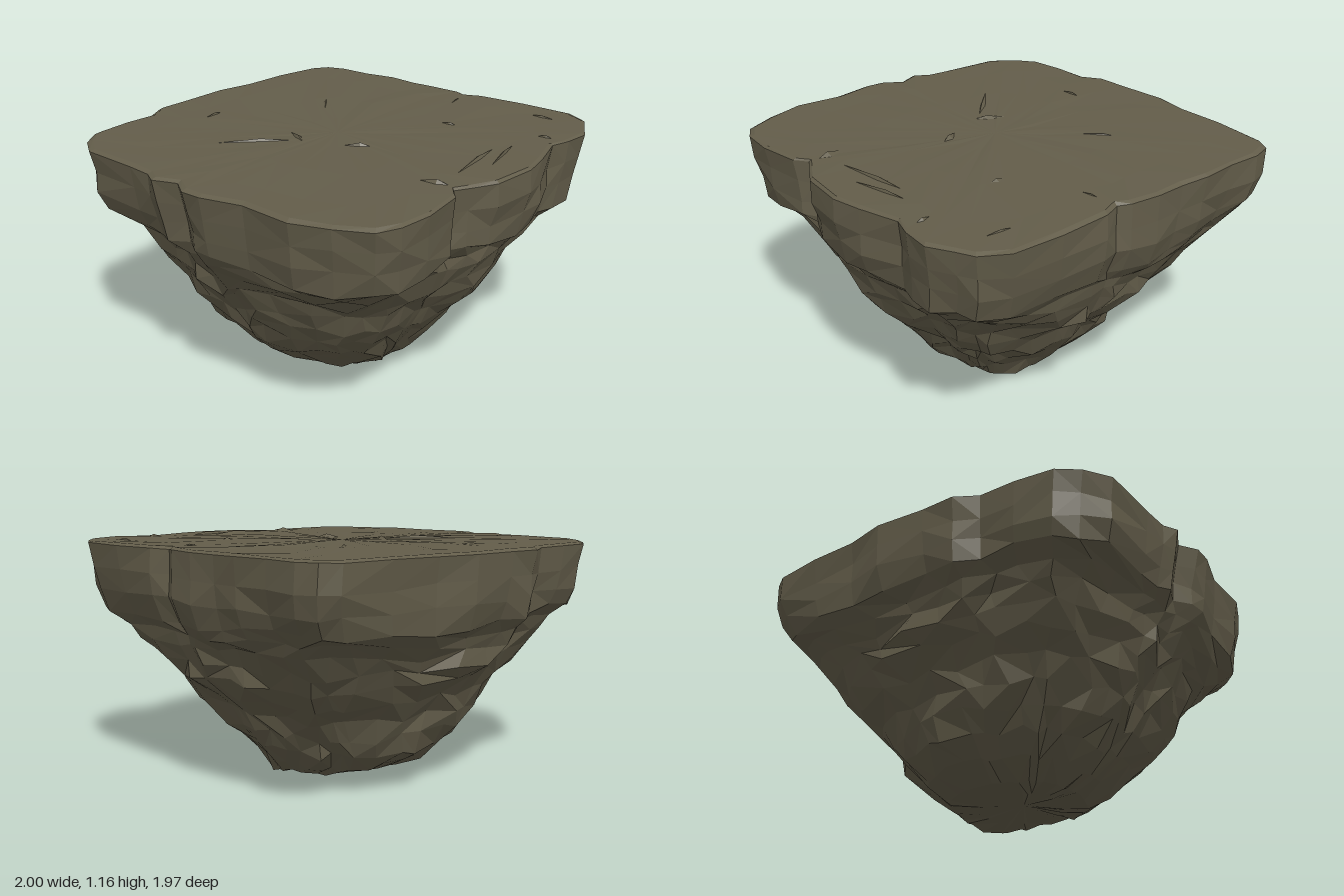
import * as THREE from 'three';

// Rim outline (x, z), counter-clockwise seen from above
const RIM = [
  [0.94, 0.11], [0.97, 0.05], [0.98, -0.1], [0.97, -0.25], [0.98, -0.4], [0.96, -0.58], [0.96, -0.75], [0.93, -0.85],
  [0.85, -0.9], [0.6, -0.93], [0.35, -0.94], [0.15, -0.98], [-0.1, -0.965], [-0.27, -0.97], [-0.38, -0.91],
  [-0.56, -0.91], [-0.75, -0.89], [-0.85, -0.82], [-0.93, -0.7], [-0.94, -0.4], [-0.95, -0.27], [-0.99, -0.2],
  [-0.94, -0.09], [-1, 0], [-1, 0.1], [-0.95, 0.3], [-0.96, 0.55], [-0.9, 0.72], [-0.82, 0.87], [-0.72, 0.92],
  [-0.55, 0.93], [-0.33, 0.9], [-0.27, 0.85], [-0.2, 0.89], [-0.08, 0.95], [0.15, 0.97], [0.3, 0.94], [0.5, 0.88],
  [0.6, 0.91], [0.74, 0.92], [0.85, 0.86], [0.93, 0.82], [1, 0.7], [1, 0.45], [0.98, 0.2],
];
const N = RIM.length;

// Each level: height, extent to -x, +x, -z, +z, roundness, roughness
const UNDERSIDE = [
  [0.03, 0.17, 0.22, 0.17, 0.22, 0.95, 0.02],
  [0.04, 0.29, 0.37, 0.31, 0.34, 0.92, 0.03],
  [0.1, 0.4, 0.44, 0.46, 0.42, 0.86, 0.06],
  [0.19, 0.51, 0.52, 0.56, 0.49, 0.8, 0.08],
  [0.28, 0.61, 0.58, 0.61, 0.57, 0.75, 0.08],
  [0.37, 0.68, 0.65, 0.65, 0.65, 0.69, 0.08],
  [0.46, 0.73, 0.72, 0.71, 0.73, 0.62, 0.08],
  [0.55, 0.78, 0.81, 0.78, 0.78, 0.54, 0.08],
  [0.63, 0.82, 0.85, 0.83, 0.82, 0.44, 0.07],
  [0.71, 0.86, 0.89, 0.85, 0.86, 0.34, 0.06],
  [0.77, 0.91, 0.92, 0.88, 0.89, 0.22, 0.05],
  [0.82, 0.95, 0.95, 0.94, 0.95, 0.1, 0.03],
];
const CLIFF = [
  [0.92, 0.97, 0.99, 0.96, 0.965, 0.05, 0.035],
  [1.02, 0.985, 1, 0.97, 0.975, 0.02, 0.03],
  [1.13, 1, 1, 0.98, 0.98, 0, 0],
];
const TOP = [
  [1.14, 0.975, 0.98, 0.96, 0.965, 0, 0.01],
  [1.14, 0.8, 0.8, 0.79, 0.79, 0.05, 0.05],
  [1.14, 0.5, 0.5, 0.5, 0.5, 0.2, 0.08],
  [1.138, 0.2, 0.2, 0.2, 0.2, 0.5, 0.05],
];

function seeded(seed) {
  return () => {
    seed = (seed * 1664525 + 1013904223) % 4294967296;
    return seed / 4294967296;
  };
}
const rand = seeded(77);

// Broad horizontal strata and lumps
const lumps = (x, y, z) =>
  0.6 * Math.sin(5.1 * x + 9 * y + 1.3) * Math.cos(4.3 * z - 7 * y)
  + 0.4 * Math.sin(9 * x - 7 * z + 13 * y);

function makeRing([y, x0, x1, z0, z1, round, rough]) {
  return RIM.map(([px, pz], i) => {
    // slide along the rim so facets do not line up in columns
    const [qx, qz] = RIM[(i + 1) % N];
    const slide = rough > 0.04 ? rand() * 0.55 : 0;
    let x = px + (qx - px) * slide, z = pz + (qz - pz) * slide;
    const r = Math.hypot(x, z);
    x = THREE.MathUtils.lerp(x, x / r, round);
    z = THREE.MathUtils.lerp(z, z / r, round);
    x *= x > 0 ? x1 : x0;
    z *= (z > 0 ? z1 : z0) / THREE.MathUtils.lerp(0.975, 1, round);
    // gouge under the front left corner
    const gouge = 0.07 * Math.exp(-((x - 0.66) ** 2 + (y - 0.55) ** 2 + (z - 0.6) ** 2) / 0.03);
    const push = 1 - gouge + rough * (0.5 * lumps(x, y, z) + 0.6 * (rand() - 0.6));
    let h = y;
    if (y > 1.1) h += 0.008 * x - 0.004 * z + 0.005 * (rand() - 0.5);
    else h += rough * 0.6 * (rand() - 0.5);
    // wavering ledge below the cliff band
    if (y > 0.7 && y < 0.9) h += 0.018 * Math.sin(4 * x + 3 * z) + 0.01 * Math.sin(11 * x - 9 * z);
    // lowest toe of the rock
    if (y < 0.05) h -= 0.045 * Math.max(0, 1 - Math.hypot(x - 0.31, z - 0.18) / 0.25);
    return new THREE.Vector3(x * push, h, z * push);
  });
}

// Faceted skin between rings, with irregular diagonals
function skin(rings, cap) {
  const tris = [];
  for (let k = 0; k < rings.length - 1; k++) {
    const lo = rings[k], hi = rings[k + 1];
    for (let i = 0; i < N; i++) {
      const j = (i + 1) % N;
      if (rand() < 0.5) tris.push(lo[i], lo[j], hi[j], lo[i], hi[j], hi[i]);
      else tris.push(lo[i], lo[j], hi[i], lo[j], hi[j], hi[i]);
    }
  }
  if (cap) {
    const c = new THREE.Vector3(0, cap === 'top' ? 1.138 : 0.03, 0);
    const ring = cap === 'top' ? rings[rings.length - 1] : rings[0];
    for (let i = 0; i < N; i++) {
      const j = (i + 1) % N;
      if (cap === 'top') tris.push(ring[i], ring[j], c);
      else tris.push(ring[j], ring[i], c);
    }
  }
  const g = new THREE.BufferGeometry().setFromPoints(tris);
  g.computeVertexNormals();
  return g;
}

// Low splinter of stone lying from a to b, steep on one side
function splinter(ax, az, bx, bz, width) {
  const y = 1.132;
  const a = new THREE.Vector3(ax, y, az), b = new THREE.Vector3(bx, y, bz);
  const side = new THREE.Vector3(az - bz, 0, bx - ax).normalize();
  const mid = a.clone().lerp(b, 0.6);
  const l = mid.clone().addScaledVector(side, -width), r = mid.clone().addScaledVector(side, width * 0.4);
  const p = mid.clone().setY(y + 0.02);
  const g = new THREE.BufferGeometry().setFromPoints([a, p, l, l, p, b, b, p, r, r, p, a]);
  g.computeVertexNormals();
  return g;
}

export function createModel() {
  const rock = new THREE.Group();
  rock.name = 'rockIsland';
  const stone = new THREE.MeshStandardMaterial({ color: 0x635d4a });
  stone.name = 'stone';
  const add = (name, geometry) => {
    const m = new THREE.Mesh(geometry, stone);
    m.name = name;
    rock.add(m);
  };

  const under = UNDERSIDE.map(makeRing);
  const cliff = CLIFF.map(makeRing);
  const top = TOP.map(makeRing);
  add('underside', skin(under, 'bottom'));
  add('cliffBand', skin([under[under.length - 1], ...cliff]));
  add('topSurface', skin([cliff[cliff.length - 1], ...top], 'top'));

  // Splinters on the plateau: start, end, width
  [
    [-0.55, -0.38, -0.2, -0.05, 0.025], [-0.13, -0.2, -0.22, -0.02, 0.03],
    [0.18, -0.24, 0.46, -0.46, 0.03], [-0.13, 0.14, -0.06, 0.26, 0.03],
    [0.44, 0.27, 0.45, 0.4, 0.04], [0.66, 0.16, 0.92, 0.12, 0.02],
    [-0.28, 0.68, -0.25, 0.82, 0.04], [-0.2, 0.78, 0.32, 0.7, 0.03],
    [0, 0.84, 0.42, 0.74, 0.02], [0.55, 0.74, 0.57, 0.86, 0.02],
    [-0.3, -0.65, -0.1, -0.66, 0.02], [0.83, 0.8, 0.84, 0.52, 0.02],
  ].forEach((s) => add('topSplinter', splinter(...s)));
  return rock;
}
